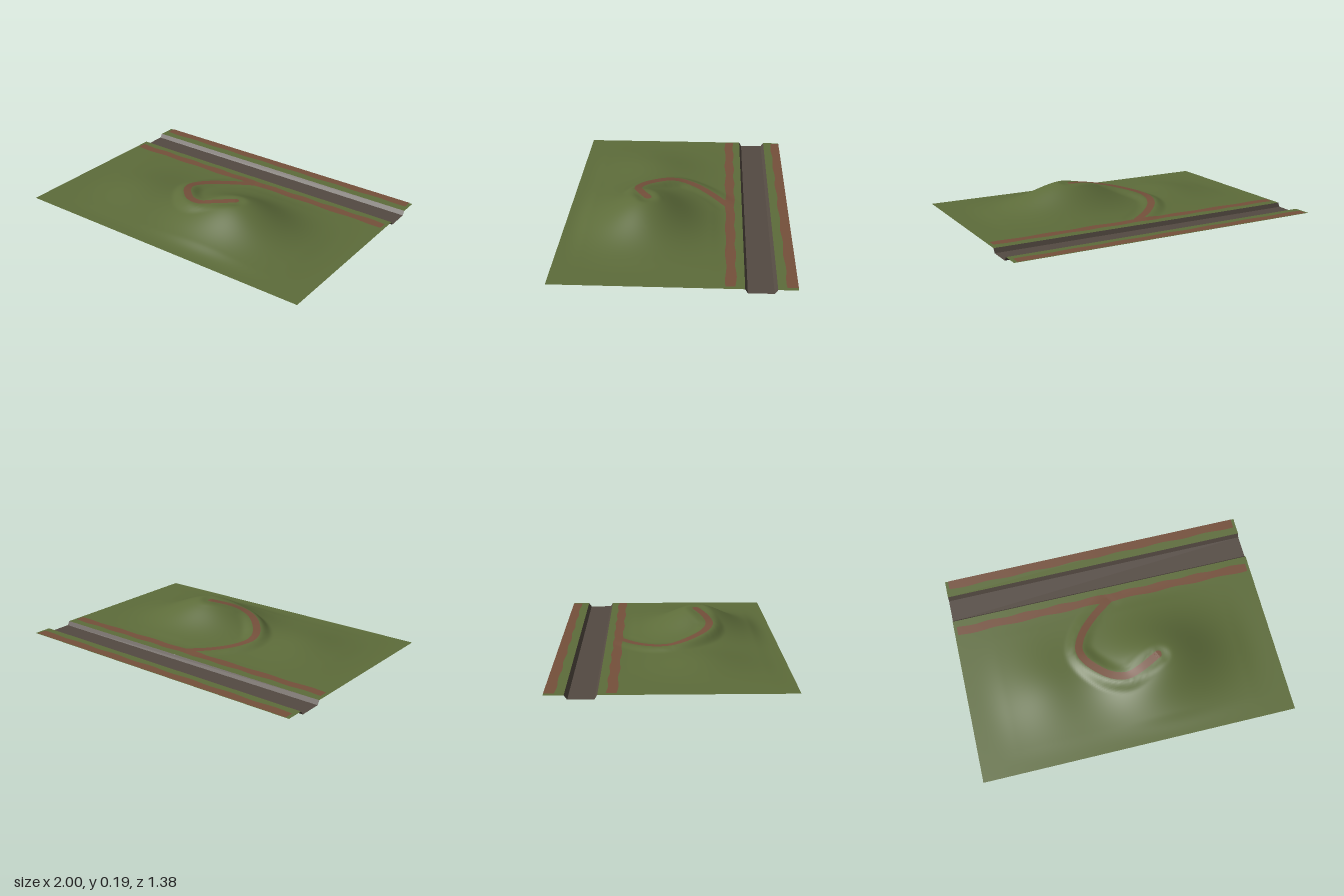
import * as THREE from 'three';

const LEVEL = 0.025; // height of the flat land above the channel floor

const mat = (name, color) => new THREE.MeshStandardMaterial({ name, color, side: THREE.DoubleSide });

// Centre line of the trail; y is its height as it climbs the hill
const trail = new THREE.CatmullRomCurve3([
  [0.03, 0.026, -0.31], [-0.1, 0.036, -0.21], [-0.2, 0.052, -0.1], [-0.24, 0.068, 0],
  [-0.22, 0.084, 0.08], [-0.13, 0.106, 0.19], [-0.06, 0.12, 0.24], [0.02, 0.136, 0.262],
  [0.11, 0.158, 0.24], [0.23, 0.178, 0.185],
].map((p) => new THREE.Vector3(...p)));
const trailPoints = trail.getSpacedPoints(120);

// Main hill, low mound beside it, and a level bench along the trail
function landHeight(x, z) {
  const d = Math.hypot(x - 0.25, (z - 0.2) * 1.25);
  const hill = Math.min(0.155, 0.16 * Math.exp(-((d / 0.33) ** 2)));
  const mound = 0.037 * Math.exp(-(((x + 0.5) / 0.25) ** 2) - ((z - 0.2) / 0.25) ** 2);
  const apron = 0.008 * Math.exp(-((x / 0.65) ** 4) - ((z - 0.2) / 0.35) ** 4);
  const fade = THREE.MathUtils.smoothstep(z, -0.34, -0.2)
    * (1 - THREE.MathUtils.smoothstep(z, 0.54, 0.67))
    * (1 - THREE.MathUtils.smoothstep(Math.abs(x), 0.75, 0.97));
  let y = LEVEL + (hill + mound + apron) * fade;

  let best = Infinity, bench = 0;
  for (const p of trailPoints) {
    const q = (p.x - x) ** 2 + (p.z - z) ** 2;
    if (q < best) { best = q; bench = p.y; }
  }
  const w = 1 - THREE.MathUtils.smoothstep(Math.sqrt(best), 0.025, 0.1);
  return y + (bench - y) * w;
}

// Grid sheet whose points come from place(u, v), u along x and v along z
function sheet(nu, nv, place) {
  const g = new THREE.PlaneGeometry(1, 1, nu, nv);
  const pos = g.attributes.position;
  for (let j = 0, i = 0; j <= nv; j++) {
    for (let k = 0; k <= nu; k++, i++) pos.setXYZ(i, ...place(k / nu, j / nv));
  }
  g.computeVertexNormals();
  return g;
}

const lerp = THREE.MathUtils.lerp;
const slope = (z0, y0, z1, y1) =>
  sheet(1, 1, (u, v) => [lerp(-1, 1, u), lerp(y0, y1, v), lerp(z0, z1, v)]);

export function createModel() {
  const model = new THREE.Group();
  model.name = 'hillTerrain';
  const grass = mat('grass green', 0x5d6c3a);
  const dirt = mat('dirt brown', 0x75503b);
  const bed = mat('channel brown', 0x544a42);

  const add = (name, geometry, material) => {
    const mesh = new THREE.Mesh(geometry, material);
    mesh.name = name;
    model.add(mesh);
  };

  // Land on both sides of the channel
  add('hillLand', sheet(160, 90, (u, v) => {
    const x = lerp(-1, 1, u), z = lerp(-0.4, 0.69, v);
    return [x, landHeight(x, z), z];
  }), grass);
  add('backBank', slope(-0.69, LEVEL, -0.578, LEVEL), grass);

  // Channel: steep back wall, flat floor, front wall
  add('channelBackWall', slope(-0.578, LEVEL, -0.56, 0), bed);
  add('channelFloor', slope(-0.56, 0, -0.415, 0), bed);
  add('channelFrontWall', slope(-0.415, 0, -0.4, LEVEL), bed);

  // Dirt tracks with slightly uneven edges
  const track = (name, z0, z1, wave0, wave1) => add(name, sheet(120, 6, (u, v) => {
    const x = lerp(-0.98, 0.98, u);
    const a = z0 + wave0 * Math.sin(x * 27), b = z1 + wave1 * Math.sin(x * 21 + 1);
    const z = lerp(a, b, v);
    return [x, (z < -0.5 ? LEVEL : landHeight(x, z)) + 0.003, z];
  }), dirt);
  track('frontTrack', -0.352, -0.295, 0.004, 0.004);
  track('backTrack', -0.69, -0.63, 0, 0.004);

  // Trail draped over its bench, with a round end near the summit
  const half = 0.024, n = 120;
  add('hillTrail', sheet(n, 6, (u, v) => {
    const p = trail.getPointAt(u), t = trail.getTangentAt(u);
    const len = Math.hypot(t.x, t.z), s = (0.5 - v) * 2 * half;
    const x = p.x + (t.z / len) * s, z = p.z - (t.x / len) * s;
    return [x, landHeight(x, z) + 0.004, z];
  }), dirt);
  const end = trail.getPointAt(1);
  add('trailEnd', sheet(20, 4, (u, v) => {
    const a = u * Math.PI * 2, r = v * half;
    const x = end.x + Math.cos(a) * r, z = end.z - Math.sin(a) * r;
    return [x, landHeight(x, z) + 0.004, z];
  }), dirt);

  return model;
}
